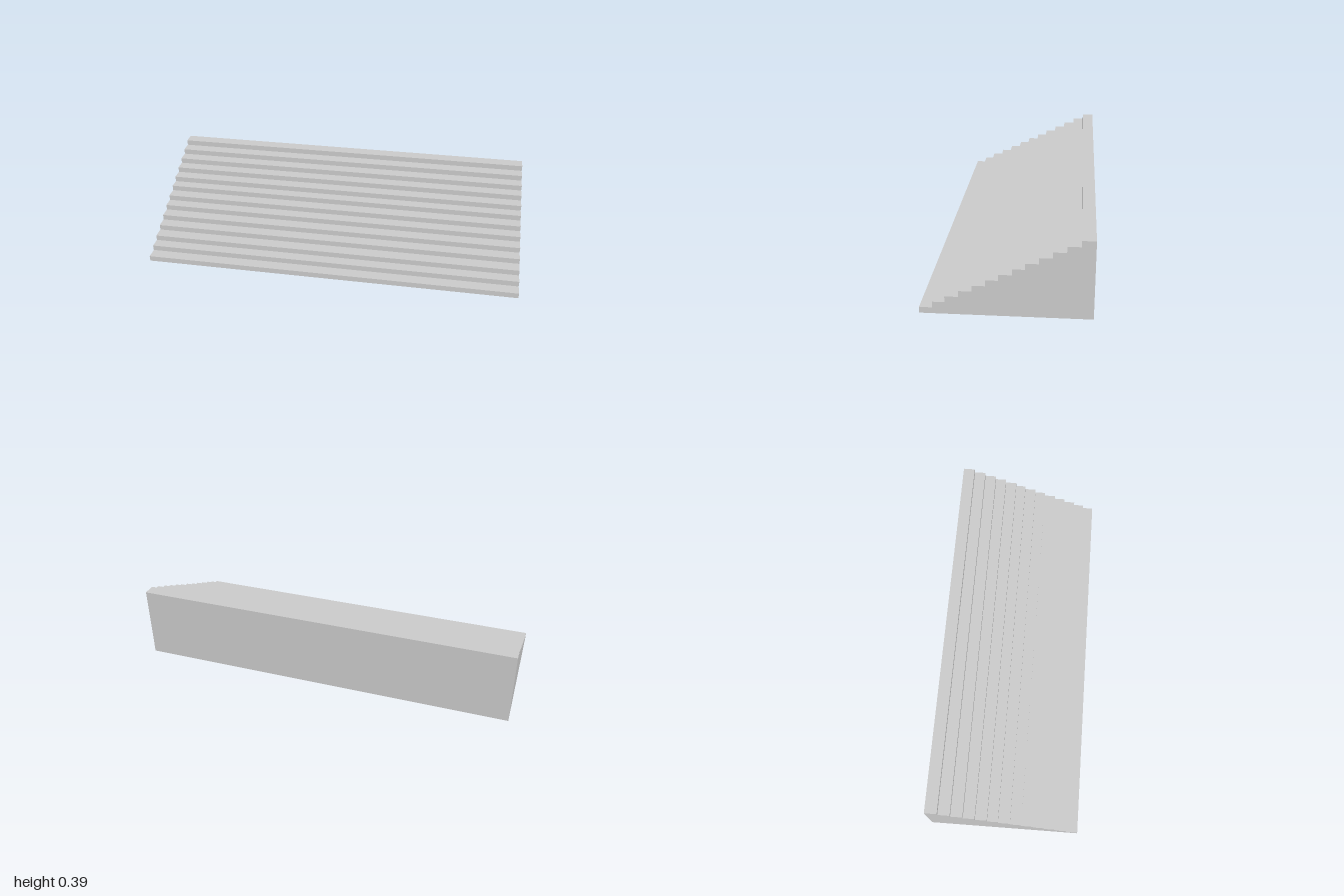
import * as THREE from 'three';

const WIDTH = 2;
const HEIGHT = 0.386;
// Depth positions of the risers, front to back
const RISERS = [0.395, 0.334, 0.277, 0.214, 0.153, 0.091, 0.032, -0.03, -0.086, -0.147, -0.207, -0.269, -0.331];
const BACK = -0.395;

export function createModel() {
  const group = new THREE.Group();
  group.name = 'staircase';

  // Stepped side profile, drawn with its x axis pointing to the back
  const profile = new THREE.Shape();
  profile.moveTo(-BACK, 0);
  profile.lineTo(-BACK, HEIGHT);
  for (let i = RISERS.length - 1; i >= 0; i--) {
    profile.lineTo(-RISERS[i], (HEIGHT * (i + 1)) / RISERS.length);
    profile.lineTo(-RISERS[i], (HEIGHT * i) / RISERS.length);
    // The lowest riser ends on the ground
  }
  profile.closePath();

  // Solid flight of wide steps, extruded across the width
  const geometry = new THREE.ExtrudeGeometry(profile, { depth: WIDTH, bevelEnabled: false });
  geometry.translate(0, 0, -WIDTH / 2);
  geometry.rotateY(Math.PI / 2);

  const steps = new THREE.Mesh(geometry, new THREE.MeshStandardMaterial({ color: 0xcccccc, flatShading: true }));
  steps.name = 'steps';
  group.add(steps);
  return group;
}
